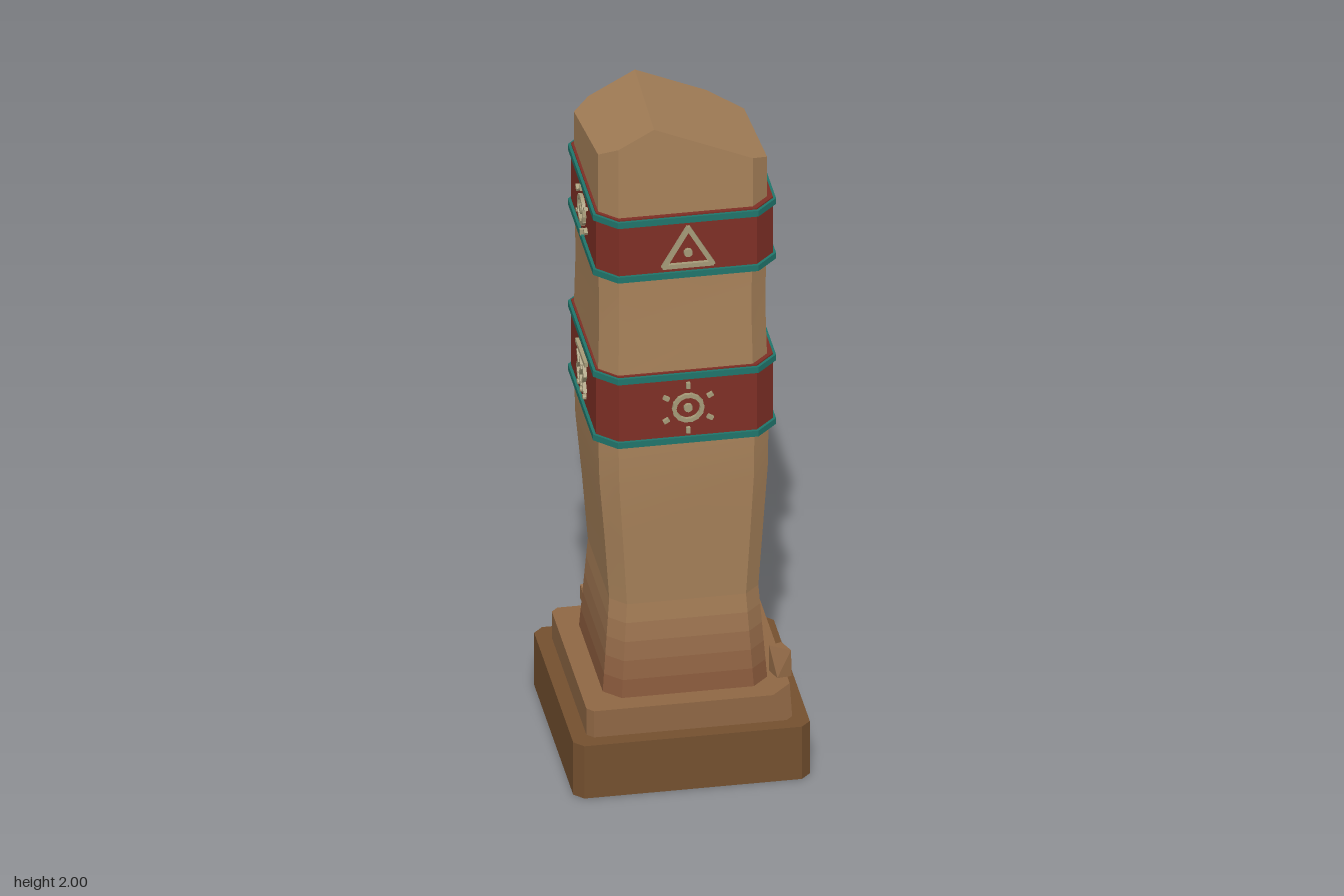
import * as THREE from 'three';
import { ConvexGeometry } from 'three/addons/geometries/ConvexGeometry.js';

const STONE = 0xa8825a, FOOT = 0x8a5a3c, STEP = 0x8f6744, BASE = 0x74502f;
const RED = 0x7e2f25, TEAL = 0x20756b, GLYPH = 0xa59a78;

const mat = (color, flat = true) => new THREE.MeshStandardMaterial({ color, flatShading: flat });

function add(parent, name, geometry, color, flat) {
  const mesh = new THREE.Mesh(geometry, mat(color, flat));
  mesh.name = name;
  parent.add(mesh);
  return mesh;
}

// Square outline with cut corners, counter-clockwise seen from the front of the xy plane
function octagon(h, c) {
  const k = h - c;
  return [[h, -k], [h, k], [k, h], [-k, h], [-h, k], [-h, -k], [-k, -h], [k, -h]];
}

const level = (h, c, y, cx = 0, cz = 0) =>
  octagon(h, c).map(([x, z]) => new THREE.Vector3(x + cx, y, z + cz));

// Eight separate side strips: sharp vertical corners, smooth up the height
function shaft(rows) {
  const rings = rows.map(([y, h, c, cx, cz]) => level(h, c, y, cx, cz));
  const pos = [], idx = [];
  for (let s = 0; s < 8; s++) {
    const start = pos.length / 3;
    rings.forEach((r) => pos.push(...r[s].toArray(), ...r[(s + 1) % 8].toArray()));
    for (let i = 0; i < rings.length - 1; i++) {
      const a = start + i * 2;
      idx.push(a, a + 2, a + 1, a + 1, a + 2, a + 3);
    }
  }
  const g = new THREE.BufferGeometry();
  g.setAttribute('position', new THREE.Float32BufferAttribute(pos, 3));
  g.setIndex(idx);
  g.computeVertexNormals();
  return g;
}

// Octagonal collar with a hole for the shaft, standing from y0 to y1
function collar(h, inner, c, y0, y1) {
  const toV = (p) => p.map(([x, y]) => new THREE.Vector2(x, y));
  const shape = new THREE.Shape(toV(octagon(h, c)));
  shape.holes.push(new THREE.Path(toV(octagon(inner, 0.045)).reverse()));
  const g = new THREE.ExtrudeGeometry(shape, { depth: y1 - y0, bevelEnabled: false });
  return g.rotateX(-Math.PI / 2).translate(0, y0, 0);
}

// Raised line along a list of points
function stroke(parent, points, w = 0.013, closed = false) {
  const n = points.length;
  for (let i = 0; i < (closed ? n : n - 1); i++) {
    const [x0, y0] = points[i], [x1, y1] = points[(i + 1) % n];
    const len = Math.hypot(x1 - x0, y1 - y0) + w * 0.6;
    const m = add(parent, 'carvedLine', new THREE.BoxGeometry(len, w, 0.02), GLYPH);
    m.position.set((x0 + x1) / 2, (y0 + y1) / 2, 0);
    m.rotation.z = Math.atan2(y1 - y0, x1 - x0);
  }
}

function dot(parent, x, y, r) {
  const g = new THREE.CylinderGeometry(r, r, 0.02, 10).rotateX(Math.PI / 2);
  add(parent, 'carvedDot', g, GLYPH).position.set(x, y, 0);
}

// Carved signs, each about its own centre
const signs = {
  sun(g) {
    const at = (a, r) => [Math.cos(a) * r, Math.sin(a) * r];
    stroke(g, Array.from({ length: 14 }, (_, i) => at((i / 14) * Math.PI * 2, 0.038)), 0.011, true);
    dot(g, 0, 0, 0.012);
    for (let i = 0; i < 6; i++) {
      const a = Math.PI / 6 + (i * Math.PI) / 3;
      stroke(g, [at(a, 0.064), at(a, 0.074)], 0.011);
    }
  },
  triangle(g) {
    stroke(g, [[0, 0.058], [-0.066, -0.056], [0.066, -0.056]], 0.013, true);
    dot(g, 0, -0.018, 0.012);
  },
  spiral(g) {
    stroke(g, [[-0.05, 0.045], [0.037, 0.045], [0.037, -0.038], [-0.033, -0.038],
      [-0.033, 0.012], [0.005, 0.012], [0.005, -0.01]]);
  },
  serpent(g) {
    stroke(g, [[-0.07, -0.058], [-0.04, -0.065], [-0.015, -0.03], [0.0, 0.015],
      [0.02, 0.05], [0.04, 0.056], [0.07, 0.043]]);
  },
  hill(g) {
    stroke(g, [[-0.072, -0.045], [-0.042, -0.045], [-0.024, 0.015], [0.024, 0.015],
      [0.042, -0.045], [0.072, -0.045]]);
    dot(g, 0, 0.048, 0.012);
  },
  rain(g) {
    stroke(g, [[-0.065, 0.055], [0.065, 0.055]]);
    for (const x of [-0.042, 0, 0.042]) {
      stroke(g, [[x - 0.008, 0.035], [x + 0.01, 0.012], [x - 0.01, -0.015], [x + 0.008, -0.04]], 0.011);
      dot(g, x, -0.058, 0.008);
    }
  },
};

// Red collar with two teal rims and a sign on each side
function band(parent, name, y0, y1, names) {
  const g = new THREE.Group();
  g.name = name;
  parent.add(g);
  add(g, 'redCollar', collar(0.241, 0.215, 0.053, y0, y1), RED);
  for (const y of [y0 + 0.004, y1 - 0.022]) {
    add(g, 'tealRim', collar(0.249, 0.235, 0.058, y, y + 0.018), TEAL);
  }
  names.forEach((sign, i) => {
    const face = new THREE.Group();
    face.name = sign + 'Sign';
    const a = (i * Math.PI) / 2;
    face.position.set(Math.sin(a) * 0.241, (y0 + y1) / 2, Math.cos(a) * 0.241);
    face.rotation.y = a;
    signs[sign](face);
    g.add(face);
  });
}

const hull = (points) =>
  new ConvexGeometry(points.map((p) => (p.isVector3 ? p : new THREE.Vector3(...p))));

export function createModel() {
  const model = new THREE.Group();
  model.name = 'stonePillar';

  // Base slab, back corner on +x broken off
  add(model, 'baseSlab', hull([
    ...level(0.322, 0.026, 0),
    ...level(0.322, 0.026, 0.162).filter((p) => !(p.x > 0 && p.z < 0)),
    [0.25, 0.162, -0.322], [0.322, 0.162, -0.25],
    [0.296, 0.12, -0.322], [0.322, 0.12, -0.296],
  ]), BASE);

  // Step, front corner on +x broken off
  add(model, 'step', hull([
    ...level(0.28, 0.018, 0.162),
    ...level(0.28, 0.018, 0.243).filter((p) => !(p.x > 0 && p.z > 0)),
    [0.225, 0.243, 0.28], [0.28, 0.243, 0.225],
  ]), STEP);

  // Foot of the shaft, darkening towards the ground
  const steps = 5;
  const footRow = (t) => [0.24 + 0.28 * t, 0.224 - 0.021 * t, 0.044 - 0.003 * t, 0.003, 0];
  for (let i = 0; i < steps; i++) {
    const color = new THREE.Color(FOOT).lerp(new THREE.Color(STONE), i / steps);
    add(model, 'shaftFoot', shaft([footRow(i / steps), footRow((i + 1) / steps)]), color, false);
  }

  // Waisted shaft: height, half width, corner cut, centre x, centre z
  add(model, 'shaft', shaft([
    footRow(1),
    [0.72, 0.216, 0.043, 0.001, 0.002],
    [0.9, 0.229, 0.046, -0.002, 0.004],
    [1.04, 0.232, 0.047, -0.003, 0.004],
    [1.24, 0.23, 0.047, -0.005, 0.005],
    [1.4, 0.226, 0.046, -0.005, 0.004],
    [1.55, 0.228, 0.047, -0.005, 0.003],
    [1.72, 0.23, 0.047, -0.004, 0],
  ]), STONE, false);

  // Broken top: two slopes from a ridge falling to the back, one corner chipped
  const topY = (x, z) => {
    const d = x - (-0.075 - 0.065 * z);
    return 1.96 + 0.174 * z - (d < 0 ? -d * 0.55 : d * 0.43);
  };
  const onTop = (x, z) => [x, topY(x, z), z];
  const rim = level(0.23, 0.047, 1.72, -0.004, 0);
  add(model, 'brokenTop', hull([
    ...rim,
    ...rim.filter((p) => !(p.x > 0 && p.z < 0)).map((p) => onTop(p.x, p.z)),
    onTop(-0.09, 0.23), onTop(-0.06, -0.23),
    onTop(0.135, -0.23), onTop(0.226, -0.165),
    [0.226, 1.79, -0.183], [0.179, 1.785, -0.23],
  ]), STONE);

  band(model, 'lowerBand', 1.027, 1.25, ['sun', 'serpent', 'hill', 'rain']);
  band(model, 'upperBand', 1.54, 1.735, ['triangle', 'spiral', 'serpent', 'sun']);

  // Loose shards lying on the step
  add(model, 'frontShard', hull([
    [0.235, 0.25, 0.16], [0.27, 0.25, 0.15], [0.29, 0.25, 0.2], [0.25, 0.25, 0.205],
    [0.235, 0.33, 0.165], [0.27, 0.33, 0.152], [0.288, 0.33, 0.2],
  ]), STEP);
  add(model, 'backShard', hull([
    [-0.198, 0.26, -0.29], [-0.165, 0.25, -0.272], [-0.175, 0.25, -0.24], [-0.19, 0.25, -0.23],
    [-0.198, 0.305, -0.288], [-0.165, 0.308, -0.272], [-0.18, 0.29, -0.25],
  ]), STEP);

  return model;
}
